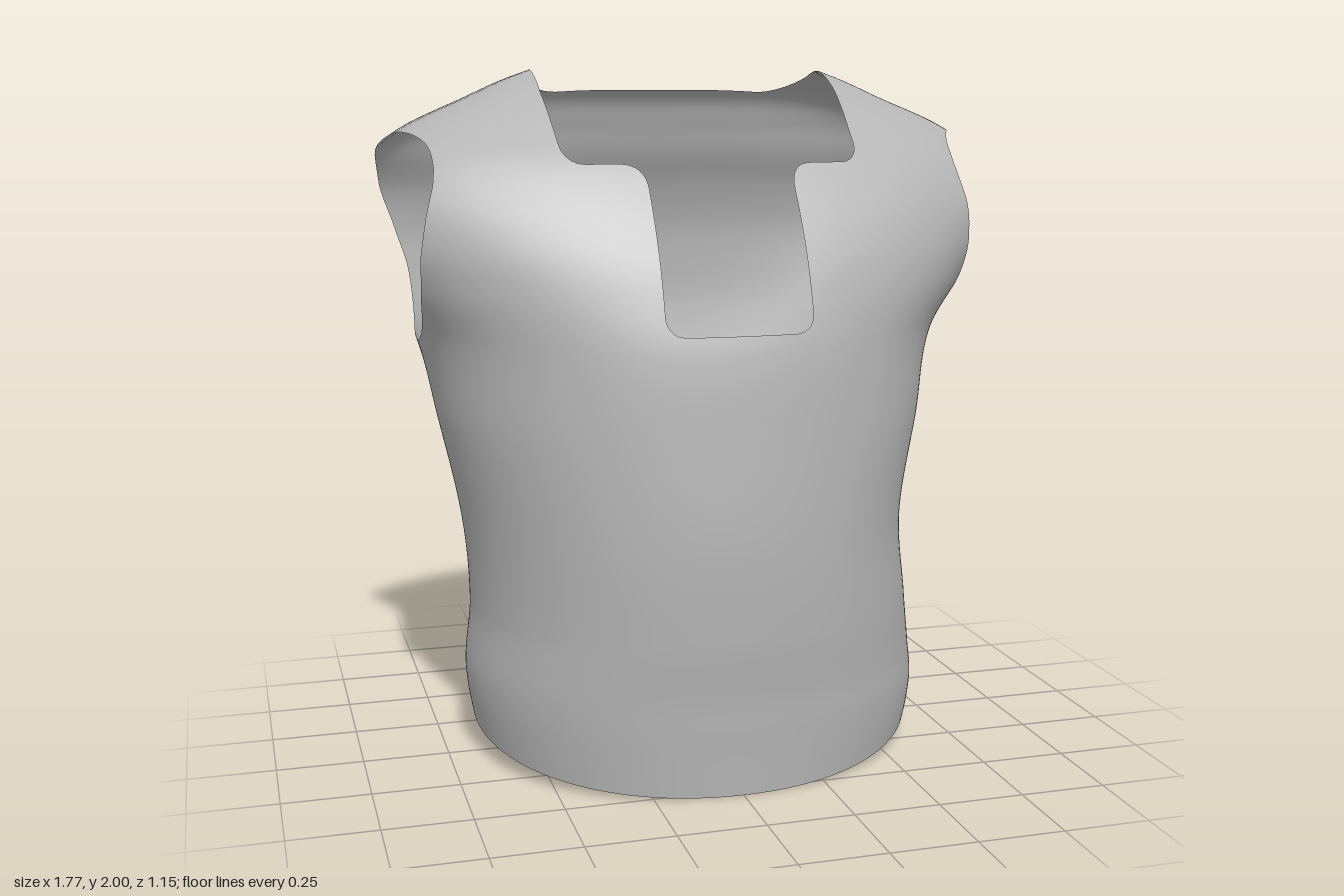
import * as THREE from 'three';
import { mergeVertices } from 'three/addons/utils/BufferGeometryUtils.js';

// Torso sections: height, width to the right, width to the left, front z, back z, side z, back squareness
// (around the armholes the widths run past the cut, so that its rim lands at the right place)
const SECTIONS = [
  [0.00, 0.645, 0.65, 0.54, -0.39, -0.03, 2.25],
  [0.10, 0.665, 0.675, 0.545, -0.40, -0.03, 2.25],
  [0.19, 0.68, 0.685, 0.55, -0.425, -0.03, 2.25],
  [0.28, 0.685, 0.675, 0.555, -0.405, -0.03, 2.25],
  [0.45, 0.668, 0.655, 0.57, -0.42, -0.03, 2.25],
  [0.70, 0.685, 0.635, 0.577, -0.44, -0.04, 2.25],
  [1.00, 0.745, 0.695, 0.557, -0.52, -0.06, 2.4],
  [1.24, 0.80, 0.75, 0.53, -0.565, -0.1, 2.5],
  [1.40, 0.895, 0.865, 0.48, -0.57, -0.1, 2.5],
  [1.52, 0.965, 0.945, 0.425, -0.56, -0.1, 2.5],
  [1.64, 0.995, 0.99, 0.35, -0.525, -0.1, 2.5],
  [1.75, 0.935, 0.935, 0.265, -0.475, -0.1, 2.6],
  [1.84, 0.81, 0.81, 0.165, -0.445, -0.12, 3.0],
  [1.92, 0.63, 0.63, 0.08, -0.41, -0.15, 3.4],
  [1.97, 0.52, 0.52, 0.01, -0.34, -0.16, 3.4],
  [2.00, 0.44, 0.44, -0.07, -0.26, -0.16, 3.0],
];

// Smooth interpolation of one section column at height y
function sample(col, y) {
  const S = SECTIONS, n = S.length;
  let i = 0;
  while (i < n - 2 && y > S[i + 1][0]) i++;
  const slope = (k) => {
    const a = S[Math.max(k - 1, 0)], b = S[Math.min(k + 1, n - 1)];
    return (b[col] - a[col]) / (b[0] - a[0]);
  };
  const h = S[i + 1][0] - S[i][0], t = (y - S[i][0]) / h, u = 1 - t;
  return u * u * (1 + 2 * t) * S[i][col] + t * t * (3 - 2 * t) * S[i + 1][col]
    + h * t * u * (u * slope(i) - t * slope(i + 1));
}

// Point on the uncut torso
function torsoPoint(angle, y) {
  const c = Math.cos(angle), s = Math.sin(angle), zs = sample(5, y);
  const w = sample(c < 0 ? 1 : 2, y);
  const d = s > 0 ? sample(3, y) - zs : zs - sample(4, y);
  const p = s > 0 ? 2.1 : sample(6, y);
  const r = Math.pow(Math.pow(Math.abs(c) / w, p) + Math.pow(Math.abs(s) / d, p), -1 / p);
  return new THREE.Vector3(c * r, y, zs + s * r);
}

// Signed distance to a corner with rounding r
function roundedCorner(a, b, r) {
  return Math.hypot(Math.max(a + r, 0), Math.max(b + r, 0)) + Math.min(Math.max(a + r, b + r), 0) - r;
}

// Positive where cloth remains
function cloth({ x, y, z }) {
  const ax = Math.abs(x);
  const hem = 0.1 * (1 - THREE.MathUtils.clamp((z + 0.1) / 0.64, 0, 1));
  // Round armhole, leaning slightly forward at the top
  const armhole = ax > 0.5 ? Math.hypot(z + 0.1 - 0.1 * (y - 1.525), y - 1.525) - 0.298 : 1;
  // Wide neck opening joined to the narrow front notch by a soft inner corner
  const side = ax - 0.443 + 0.07 * Math.max(z, 0);
  const neck = roundedCorner(side, Math.max(1.74 - y, -0.385 - z), z > 0 ? 0.05 : 0.13);
  const notch = roundedCorner(ax - 0.208, Math.max(1.29 - y, -z), 0.05);
  const k = 0.07, h = Math.max(k - Math.abs(neck - notch), 0) / k;
  const opening = Math.min(neck, notch) - h * h * k * 0.25;
  return Math.min(y - hem, armhole, opening);
}

// Trim one triangle to the cloth region
function addTrimmed(out, tri) {
  const poly = [];
  tri.forEach((a, i) => {
    const b = tri[(i + 1) % 3];
    if (a.keep >= 0) poly.push(a.pos);
    if ((a.keep >= 0) !== (b.keep >= 0)) {
      poly.push(a.pos.clone().lerp(b.pos, a.keep / (a.keep - b.keep)));
    }
  });
  for (let i = 1; i + 1 < poly.length; i++) {
    for (const v of [poly[0], poly[i], poly[i + 1]]) out.push(v.x, v.y, v.z);
  }
}

function vestGeometry() {
  const rows = 180, cols = 200, grid = [];
  for (let i = 0; i <= rows; i++) {
    const row = [];
    for (let j = 0; j < cols; j++) {
      const pos = torsoPoint((j / cols) * Math.PI * 2, (i / rows) * 2);
      row.push({ pos, keep: cloth(pos) });
    }
    grid.push(row);
  }
  const out = [];
  for (let i = 0; i < rows; i++) {
    for (let j = 0; j < cols; j++) {
      const k = (j + 1) % cols;
      const a = grid[i][j], b = grid[i][k], c = grid[i + 1][j], d = grid[i + 1][k];
      addTrimmed(out, [a, c, b]);
      addTrimmed(out, [b, c, d]);
    }
  }
  const soup = new THREE.BufferGeometry();
  soup.setAttribute('position', new THREE.Float32BufferAttribute(out, 3));
  const geometry = mergeVertices(soup, 1e-4);
  geometry.computeVertexNormals();
  return geometry;
}

export function createModel() {
  const group = new THREE.Group();
  group.name = 'sleevelessVest';
  const fabric = new THREE.MeshStandardMaterial({ color: 0xb4b4b4, side: THREE.DoubleSide });
  fabric.name = 'greyFabric';
  const vest = new THREE.Mesh(vestGeometry(), fabric);
  vest.name = 'vestShell';
  group.add(vest);
  return group;
}
